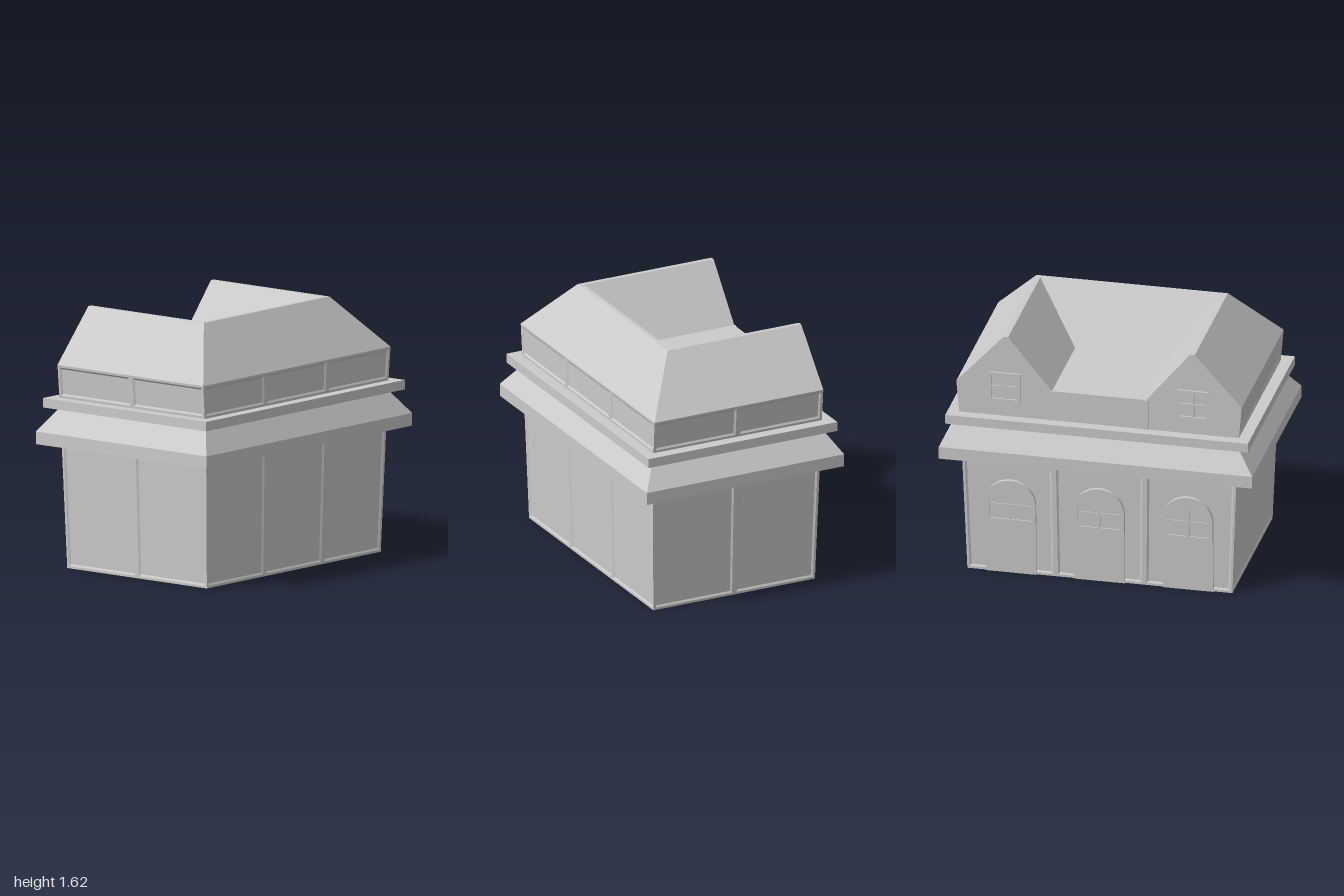
import * as THREE from 'three';

const mat = new THREE.MeshStandardMaterial({ color: 0xcccccc, flatShading: true, side: THREE.DoubleSide });
const V = (x, y, z) => new THREE.Vector3(x, y, z);

function add(parent, name, geo, x = 0, y = 0, z = 0) {
  const mesh = new THREE.Mesh(geo, mat);
  mesh.name = name;
  mesh.position.set(x, y, z);
  parent.add(mesh);
  return mesh;
}

// Flat-shaded geometry from quads, corners counter-clockwise from outside
function quadGeometry(quads) {
  const pts = quads.flatMap(([a, b, c, d]) => [a, b, c, a, c, d]);
  const geo = new THREE.BufferGeometry().setFromPoints(pts);
  geo.computeVertexNormals();
  return geo;
}

// Joins rows of points, bottom row first
function loft(rows) {
  const quads = [];
  for (let i = 0; i + 1 < rows.length; i++)
    for (let j = 0; j + 1 < rows[i].length; j++)
      quads.push([rows[i][j], rows[i][j + 1], rows[i + 1][j + 1], rows[i + 1][j]]);
  return quads;
}

// Wall a-b-c-d split into n shallow recessed panels with bevelled frames
function panelWall(a, b, c, d, n) {
  const normal = V().crossVectors(b.clone().sub(a), d.clone().sub(a)).normalize();
  const width = a.distanceTo(b), height = a.distanceTo(d);
  const at = (u, v, depth) => a.clone().lerp(b, u)
    .lerp(d.clone().lerp(c, u), v).addScaledVector(normal, -depth);
  const quads = [];
  for (let i = 0; i < n; i++) {
    const ring = (inset, depth) => {
      const du = inset / width, dv = inset / height;
      const u0 = i / n + du, u1 = (i + 1) / n - du;
      return [at(u0, dv, depth), at(u1, dv, depth), at(u1, 1 - dv, depth), at(u0, 1 - dv, depth)];
    };
    const rings = [ring(0, 0), ring(0.015, 0), ring(0.027, 0.008)];
    quads.push(...loft(rings.map(r => [...r, r[0]])), rings[2]);
  }
  return quads;
}

// Four panelled walls; lower and upper are [halfX, y, halfZ]
function panelledWalls(lower, upper, withBack) {
  const corners = ([x, y, z]) => [V(-x, y, z), V(x, y, z), V(x, y, -z), V(-x, y, -z)];
  const lo = corners(lower), hi = corners(upper), quads = [];
  [3, 2, 3, 2].forEach((n, i) => {
    if (i === 2 && !withBack) return;
    const k = (i + 1) % 4;
    quads.push(...panelWall(lo[i], lo[k], hi[k], hi[i], n));
  });
  return quadGeometry(quads);
}

const extrude = (shape, depth) => new THREE.ExtrudeGeometry(shape, { depth, bevelEnabled: false, curveSegments: 12 });

// Outline with a round top of radius r above the spring line
function archShape(r, bottom, spring) {
  const s = new THREE.Shape();
  s.moveTo(-r, bottom);
  s.lineTo(r, bottom);
  s.lineTo(r, spring);
  s.absarc(0, spring, r, 0, Math.PI, false);
  s.closePath();
  return s;
}

function rectShape(w, h) {
  return new THREE.Shape([[-w, -h], [w, -h], [w, h], [-w, h]].map(p => new THREE.Vector2(...p)));
}

// Back door: arched slab with a four-pane light in its upper half
function makeDoor(x) {
  const door = new THREE.Group();
  door.name = 'archedDoor';
  add(door, 'doorSlab', extrude(archShape(0.16, 0, 0.48), 0.015), 0, 0, -0.008);
  const frame = archShape(0.16, 0.35, 0.48);
  frame.holes.push(archShape(0.135, 0.372, 0.48));
  add(door, 'doorWindowFrame', extrude(frame, 0.012), 0, 0, -0.016);
  add(door, 'doorMullion', new THREE.BoxGeometry(0.02, 0.25, 0.008), 0, 0.495, -0.01);
  add(door, 'doorTransom', new THREE.BoxGeometry(0.28, 0.02, 0.008), 0, 0.465, -0.01);
  door.position.set(x, 0, -0.565);
  door.rotation.x = -0.0255;
  return door;
}

// Gable window: square frame with a cross of glazing bars
function makeWindow(x) {
  const win = new THREE.Group();
  win.name = 'gableWindow';
  const frame = rectShape(0.1, 0.098);
  frame.holes.push(rectShape(0.082, 0.08));
  add(win, 'windowFrame', extrude(frame, 0.014), 0, 0, -0.012);
  add(win, 'windowMullion', new THREE.BoxGeometry(0.016, 0.17, 0.008), 0, 0, -0.005);
  add(win, 'windowTransom', new THREE.BoxGeometry(0.17, 0.016, 0.008), 0, 0, -0.005);
  win.position.set(x, 1.278, -0.59);
  return win;
}

export function createModel() {
  const house = new THREE.Group();
  house.name = 'house';

  // Ground floor, open underneath
  add(house, 'lowerWalls', panelledWalls([0.845, 0, 0.565], [0.884, 1.02, 0.591], true));

  // Sloping skirt roof and flat band above it
  const skirt = [[1, 0.79, 0.69], [1, 0.87, 0.69], [0.884, 1.02, 0.591]].map(([x, y, z]) =>
    [V(-x, y, z), V(x, y, z), V(x, y, -z), V(-x, y, -z), V(-x, y, z)]);
  add(house, 'skirtRoof', quadGeometry(loft(skirt)));
  add(house, 'corniceBand', new THREE.BoxGeometry(1.93, 0.06, 1.32), 0, 1.05, 0);

  // Attic walls on front and sides
  add(house, 'atticWalls', panelledWalls([0.892, 1.08, 0.588], [0.91, 1.29, 0.59], false));

  // Twin-gabled back wall
  const half = [[0.892, 1.08], [0.91, 1.29], [0.61, 1.62], [0.58, 1.62], [0.3, 1.28]];
  const outline = [...half, ...half.map(([x, y]) => [-x, y]).reverse()];
  const gable = new THREE.ShapeGeometry(new THREE.Shape(outline.map(p => new THREE.Vector2(...p))));
  add(house, 'gableWall', gable.rotateY(Math.PI), 0, 0, -0.59);

  // U-shaped roof: outer slope, narrow ridge, inner slope down to the terrace
  const roof = [[0.91, 1.29, 0.59], [0.61, 1.62, 0.345], [0.58, 1.62, 0.315], [0.3, 1.28, 0.06]].map(([x, y, z]) =>
    [V(-x, y, -0.59), V(-x, y, z), V(x, y, z), V(x, y, -0.59)]);
  add(house, 'roof', quadGeometry(loft(roof)));
  const [bl, fl, fr, br] = roof[3];
  add(house, 'roofTerrace', quadGeometry([[fl, fr, br, bl]]));

  // Back details
  for (const x of [-0.565, 0, 0.565]) house.add(makeDoor(x));
  for (const side of [-1, 1]) {
    house.add(makeWindow(side * 0.6));
    add(house, 'gableRib', new THREE.BoxGeometry(0.035, 0.2, 0.01), side * 0.3, 1.18, -0.59);
  }
  return house;
}
